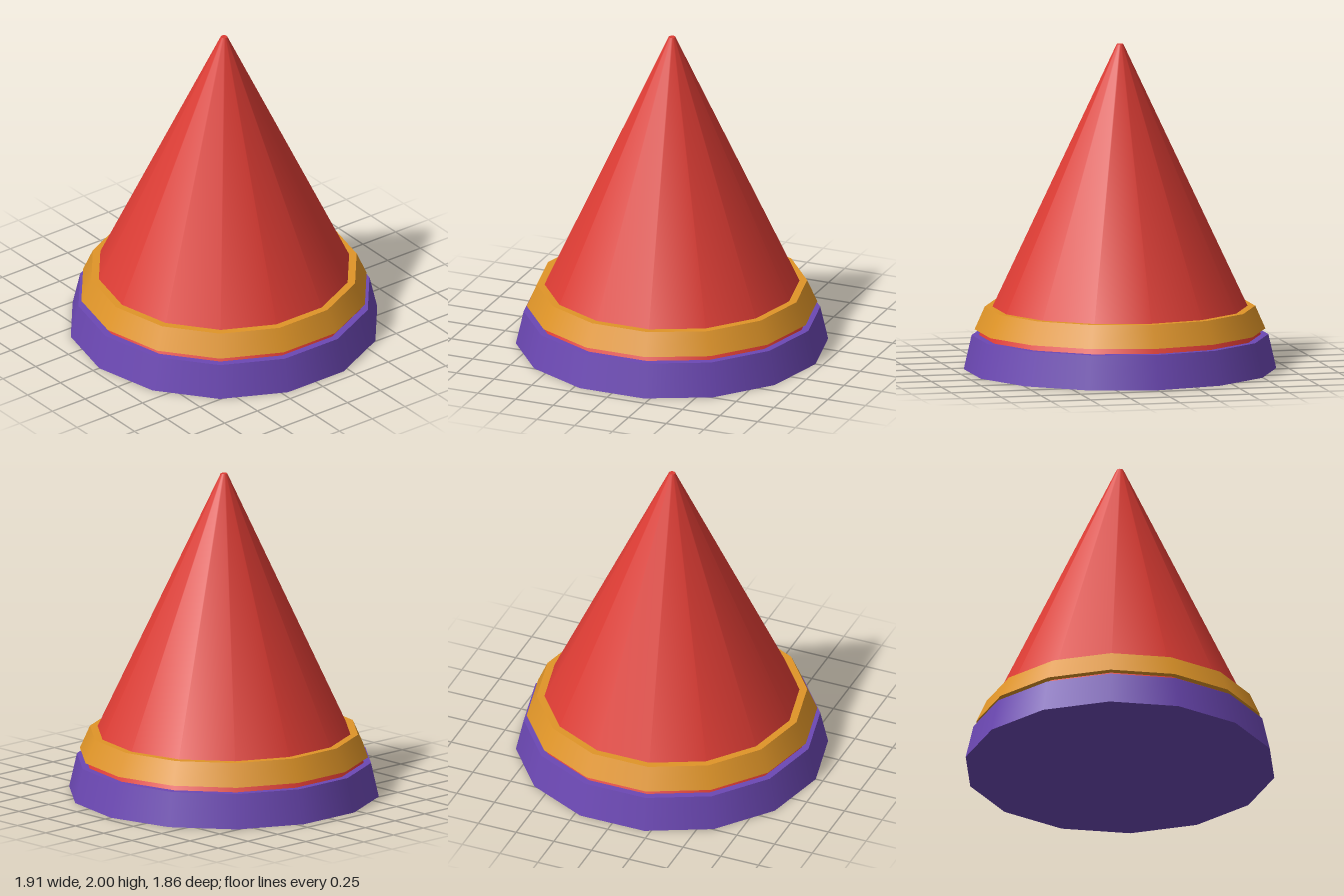
import * as THREE from 'three';

const SIDES = 14;

export function createModel() {
  const model = new THREE.Group();
  model.name = 'cone';

  const material = (name, color) => {
    const m = new THREE.MeshStandardMaterial({ color });
    m.name = name;
    return m;
  };
  const red = material('red', 0xdd3c34);
  const orange = material('orange', 0xe09528);
  const purple = material('purple', 0x6c48b4);

  // Tapered solid between two heights, with corners on the x axis
  const addTaper = (name, mat, y0, r0, y1, r1) => {
    const geometry = new THREE.CylinderGeometry(r1, r0, y1 - y0, SIDES);
    geometry.rotateY(Math.PI / 2);
    geometry.translate(0, (y0 + y1) / 2, 0);
    const mesh = new THREE.Mesh(geometry, mat);
    mesh.name = name;
    model.add(mesh);
  };

  addTaper('base', purple, 0, 0.953, 0.21, 0.905);
  addTaper('coneBody', red, 0.2, 0.865, 2, 0.02);
  addTaper('band', orange, 0.245, 0.887, 0.385, 0.825);

  return model;
}
